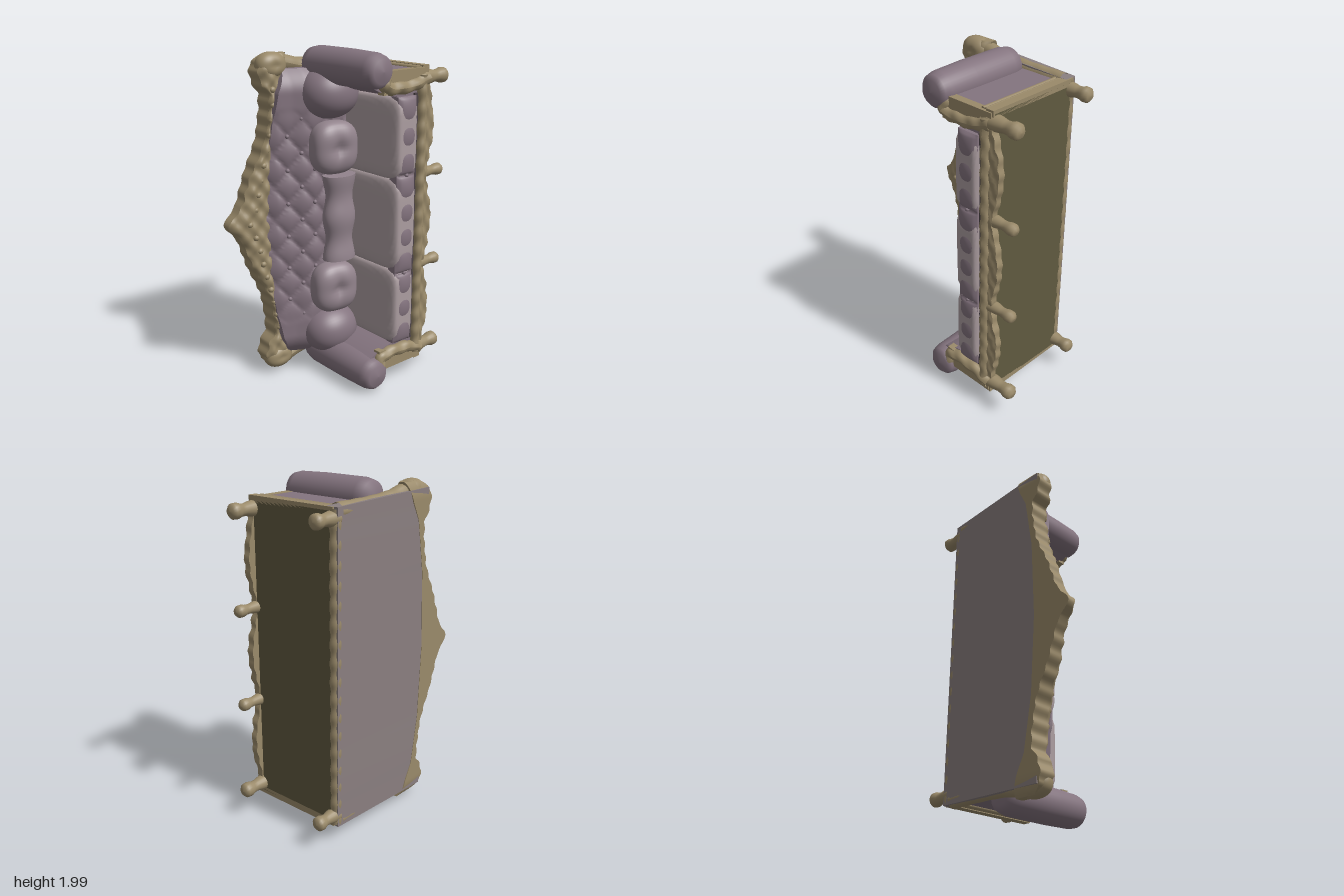
import * as THREE from 'three';

const material = (color) => new THREE.MeshStandardMaterial({ color, side: THREE.DoubleSide });
const GOLD = material(0x9a8a6a), PURPLE = material(0x84747f), PILLOW = material(0x93848d), SEAT = material(0xab9da0),
  BACK = material(0x8a7f80), UNDER = material(0x605a40), DARK = material(0x4c4347);

// Unit box whose vertices are placed by place(u, v, w), each parameter running 0..1
function slab(nx, ny, nz, place) {
  const geo = new THREE.BoxGeometry(1, 1, 1, nx, ny, nz), p = geo.attributes.position;
  for (let i = 0; i < p.count; i++)
    p.setXYZ(i, ...place(p.getX(i) + 0.5, p.getY(i) + 0.5, p.getZ(i) + 0.5));
  geo.computeVertexNormals();
  return geo;
}

// Puffy cushion: a squared-off ellipsoid with optional dent and folds in its front
function puff(rx, ry, rz, power, dent = 0) {
  const geo = new THREE.SphereGeometry(1, 48, 32), p = geo.attributes.position;
  for (let i = 0; i < p.count; i++) {
    const x = p.getX(i), y = p.getY(i), z = p.getZ(i);
    const m = (Math.abs(x) ** (2 / power) + Math.abs(y) ** (2 / power) + Math.abs(z) ** (2 / power)) ** (power / 2);
    const r = Math.hypot(x, y);
    const fold = dent * Math.exp(-r * r * 12) + dent * 0.25 * Math.cos(4 * Math.atan2(y, x)) * r * (1 - r);
    p.setXYZ(i, x / m * rx, y / m * ry, z / m * rz - (z > 0 ? fold : 0));
  }
  geo.computeVertexNormals();
  return geo;
}

// Tube with a carved, lumpy surface
function carvedTube(points, radius, lump) {
  const curve = new THREE.CatmullRomCurve3(points.map((a) => new THREE.Vector3(...a)));
  const geo = new THREE.TubeGeometry(curve, 120, radius, 14);
  const p = geo.attributes.position, n = geo.attributes.normal;
  for (let i = 0; i < p.count; i++) {
    const d = lump * Math.sin(p.getX(i) * 60) * Math.cos(p.getY(i) * 55 + p.getZ(i) * 40);
    p.setXYZ(i, p.getX(i) + n.getX(i) * d, p.getY(i) + n.getY(i) * d, p.getZ(i) + n.getZ(i) * d);
  }
  geo.computeVertexNormals();
  return geo;
}

// Lathe profile from [radius, height] pairs
const profile = (pairs) => pairs.map(([r, y]) => new THREE.Vector2(r, y));

// Piecewise-linear lookup
function along(table, a) {
  for (let i = 1; i < table.length; i++) {
    const [x0, y0] = table[i - 1], [x1, y1] = table[i];
    if (a <= x1) return y0 + (y1 - y0) * (a - x0) / (x1 - x0);
  }
  return table[table.length - 1][1];
}
const CREST = [[0, 0.57], [0.04, 0.545], [0.1, 0.49], [0.3, 0.42], [0.42, 0.36], [0.5, 0.33], [0.65, 0.305],
  [0.74, 0.305], [0.79, 0.345], [0.87, 0.365], [0.92, 0.35], [0.96, 0.29]];
const INNER = [[0, 0.32], [0.45, 0.3], [0.75, 0.25], [0.85, 0.2], [0.96, 0.16]];
const FACE = [[-0.3, -0.1], [0.05, -0.1], [0.12, -0.115], [0.2, -0.158], [0.28, -0.188], [0.36, -0.245]];

export function createModel() {
  const root = new THREE.Group();
  // The sofa is built upright (x length, y up, z front), then stood on its end
  const sofa = new THREE.Group();
  sofa.name = 'sofa';
  sofa.quaternion.setFromRotationMatrix(new THREE.Matrix4().makeBasis(
    new THREE.Vector3(0, 1, 0), new THREE.Vector3(0, 0, 1), new THREE.Vector3(1, 0, 0)));
  sofa.position.y = 1;
  root.add(sofa);
  const add = (name, geo, mat, x = 0, y = 0, z = 0) => {
    const mesh = new THREE.Mesh(geo, mat);
    mesh.name = name;
    mesh.position.set(x, y, z);
    sofa.add(mesh);
    return mesh;
  };

  // Seat body, underside and bottom rails
  add('seatBody', new THREE.BoxGeometry(1.77, 0.22, 0.58), PURPLE, 0, -0.29, -0.01);
  add('frontGroove', new THREE.BoxGeometry(1.5, 0.04, 0.04), DARK, 0, -0.325, 0.275);
  add('underside', new THREE.BoxGeometry(1.76, 0.02, 0.58), UNDER, 0, -0.4, 0);
  add('backRail', carvedTube([[-0.89, -0.38, -0.292], [0, -0.38, -0.292], [0.89, -0.38, -0.292]], 0.034, 0.003), GOLD);
  add('frontRail', carvedTube([[-0.85, -0.36, 0.3], [0, -0.36, 0.3], [0.85, -0.36, 0.3]], 0.028, 0.004), GOLD);

  // Scalloped front apron
  add('apron', slab(120, 6, 2, (u, v, w) => {
    const x = (u - 0.5) * 1.7;
    const low = -0.41 - 0.045 * Math.abs(Math.cos((x / 0.55) * Math.PI)) ** 1.5 - 0.004 * Math.sin(x * 70);
    const y = low + (-0.35 - low) * v;
    return [x, y, 0.265 + 0.04 * w + (w > 0.9 ? 0.008 * Math.sin(x * 50) * Math.sin(y * 90) : 0)];
  }), GOLD);

  // Three seat cushions with a buttoned front border
  for (const [x, w] of [[-0.505, 0.47], [0, 0.55], [0.505, 0.47]]) {
    add('seatCushion', puff(w / 2, 0.085, 0.28, 0.24), SEAT, x, -0.235, 0.045);
  }
  add('seatFront', slab(140, 10, 1, (u, v, w) => {
    const x = (u - 0.5) * 1.48, y = -0.31 + 0.14 * v;
    const swell = Math.abs(Math.sin((x / 0.148) * Math.PI)) ** 0.4 * Math.sin(Math.PI * v) ** 0.5;
    return [x, y, w ? 0.305 + 0.027 * swell : 0.25];
  }), PURPLE);
  for (let i = -4; i <= 4; i++) {
    add('seatButton', new THREE.SphereGeometry(0.013, 10, 8), PURPLE, i * 0.148, -0.24, 0.312);
  }

  // Flat rear panel
  add('rearPanel', slab(60, 1, 1, (u, v, w) => {
    const x = (u - 0.5) * (1.8 + 0.04 * v), top = Math.min(0.34, along(CREST, Math.abs(x)) - 0.01);
    return [x, -0.4 + (top + 0.4) * v, w ? -0.25 : -0.325 - 0.022 * v];
  }), BACK);

  // Deep-buttoned back upholstery, falling away towards its ends
  add('backUpholstery', slab(150, 44, 1, (u, v, w) => {
    const x = (u - 0.5) * 1.75, a = Math.abs(x), top = along(INNER, a) + 0.025;
    const y = -0.3 + (top + 0.3) * v;
    const fade = Math.max(0, 1 - (a / 0.66) ** 6);
    const diamond = Math.abs(Math.sin((x / 0.2 + y / 0.15) * Math.PI) * Math.sin((x / 0.2 - y / 0.15) * Math.PI));
    const end = Math.max(0, (a - 0.74) / 0.14) ** 2 * 0.08;
    return [x, y, w ? Math.max(-0.27, along(FACE, y) - end) - fade * 0.024 * (1 - Math.sqrt(diamond)) : -0.3];
  }), PURPLE);
  for (let row = 0; row < 4; row++) {
    for (let i = -3; i <= 3; i++) {
      const x = (i + (row % 2) / 2) * 0.2, y = row * 0.075;
      if (Math.abs(x) < 0.62) add('backButton', new THREE.SphereGeometry(0.013, 10, 8), PURPLE, x, y, along(FACE, y) - 0.018);
    }
  }

  // Carved crest with a pointed middle and rounded ends
  add('crest', slab(180, 16, 3, (u, v, w) => {
    const x = (u - 0.5) * 1.92, a = Math.abs(x), low = along(INNER, a);
    const high = along(CREST, a) + 0.005 * Math.sin(a * 75);
    const y = low + (high - low) * v;
    const thin = Math.max(0, y - 0.32) * 0.22;
    const carve = 0.008 * Math.sin(x * 55) * Math.sin(y * 70) - 0.02 * (2 * v - 1) ** 4;
    const round = Math.sqrt(1 - Math.max(0, (a - 0.86) / 0.11) ** 2);
    const depth = 0.125 - thin;
    return [x, y, -0.348 + depth / 2 + (w - 0.5) * depth * round + (w > 0.9 ? carve : 0)];
  }), GOLD);
  for (let i = -9; i <= 9; i++) {
    const x = i * 0.085, a = Math.abs(x), mid = (along(CREST, a) + along(INNER, a)) / 2;
    add('crestLeaf', new THREE.SphereGeometry(0.02, 12, 8), GOLD, x, mid, -0.235 - Math.max(0, mid - 0.32) * 0.22);
  }

  // Pillows
  for (const s of [-1, 1]) {
    const pillow = add('squarePillow', puff(0.155, 0.145, 0.09, 0.72, 0.03), PILLOW, s * 0.43, -0.005, -0.05);
    pillow.rotation.x = -0.15;
  }
  add('longPillow', slab(60, 24, 1, (u, v, w) => {
    const x = (u - 0.5) * 0.52, angle = (v - 0.5) * Math.PI;
    const r = 1 + 0.1 * Math.cos((x / 0.26) * Math.PI * 2);
    return [x, -0.055 + 0.1 * r * Math.sin(angle), -0.06 + (w ? 1 : -1) * 0.07 * r * Math.cos(angle)];
  }), PILLOW);

  // Arms, mirrored
  const rollProfile = profile([[0, -0.265], [0.06, -0.26], [0.092, -0.235], [0.104, -0.18], [0.104, 0.1],
    [0.098, 0.28], [0.088, 0.32], [0.065, 0.342], [0, 0.35]]);
  for (const s of [-1, 1]) {
    // Upright panel of an arm, spanning inn(v)..out across the sofa
    const panel = (inn, out, y0, y1, z0, z1) => slab(1, 12, 1, (u, v, w) => {
      const near = s > 0 ? inn(v) : -out, far = s > 0 ? out : -inn(v);
      return [near + (far - near) * u, y0 + (y1 - y0) * v, z0 + (z1 - z0) * w];
    });
    add('armPanel', panel((v) => 0.735 + 0.06 * v ** 3, 0.886, -0.37, -0.01, -0.29, 0.285), PURPLE);
    add('armFace', panel((v) => 0.78 + 0.02 * Math.cos(v * Math.PI), 0.888, -0.4, -0.06, 0.26, 0.308), GOLD);
    const roll = add('armRoll', new THREE.LatheGeometry(rollProfile, 36), PURPLE, s * 0.892, -0.018, 0);
    roll.rotation.x = Math.PI / 2;
    // Corner where arm meets back
    add('armCorner', puff(0.15, 0.18, 0.16, 0.95), PURPLE, s * 0.735, -0.03, -0.125);
    add('armFront', carvedTube([[0.885, -0.06], [0.85, -0.075], [0.815, -0.07], [0.795, -0.11],
      [0.79, -0.18], [0.8, -0.3], [0.83, -0.4]].map(([x, y]) => [s * x, y, 0.297]), 0.036, 0.004), GOLD);
    // Lower end rail and moulding
    add('endRail', new THREE.BoxGeometry(0.04, 0.05, 0.6), GOLD, s * 0.88, -0.385, 0);
    for (const y of [-0.35, -0.33]) {
      const trim = add('endMoulding', new THREE.CylinderGeometry(0.012, 0.012, 0.58, 10), GOLD, s * 0.886, y, 0);
      trim.rotation.x = Math.PI / 2;
    }
    // Side edge of the back, ending in a rounded ear
    add('backEdge', carvedTube([[0.872, -0.36], [0.872, -0.1], [0.885, 0.08], [0.91, 0.2], [0.905, 0.29]]
      .map(([x, y]) => [s * x, y, -0.284]), 0.045, 0.001), GOLD);
    add('backEar', puff(0.075, 0.095, 0.065, 0.9, 0.01), GOLD, s * 0.895, 0.265, -0.275);
  }

  // Turned legs: four along the front, two at the rear corners
  const legProfile = (length) => profile([[0, -1], [0.028, -0.98], [0.043, -0.9], [0.044, -0.76], [0.036, -0.64],
    [0.034, -0.5], [0.042, -0.3], [0.046, 0]].map(([r, y]) => [r, y * length]));
  for (const [x, z, foot, r] of [[0.83, 0.275, -0.57, 1], [0.28, 0.275, -0.56, 0.8], [0.84, -0.285, -0.54, 0.95]]) {
    for (const s of [-1, 1]) {
      const leg = add(z > 0 ? 'frontLeg' : 'rearLeg', new THREE.LatheGeometry(legProfile(-0.37 - foot), 20), GOLD, s * x, -0.37, z);
      leg.scale.set(r, 1, r);
    }
  }
  return root;
}
